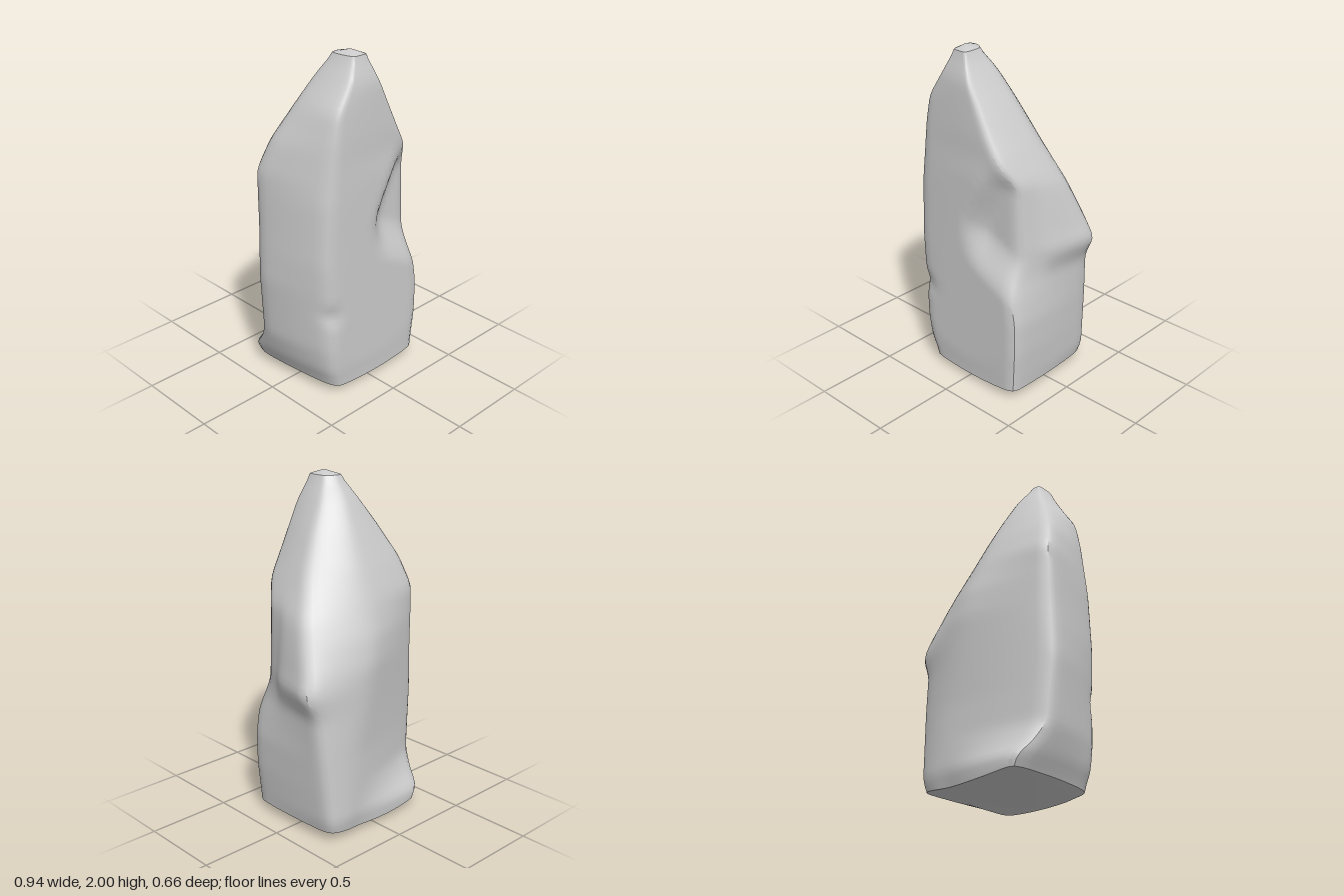
import * as THREE from 'three';
import { toCreasedNormals } from 'three/addons/utils/BufferGeometryUtils.js';

// Corner edges of the stone, each a list of [y, x, z] from base to tip
const frontRight = [[0.05, -0.28, 0.315], [0.15, -0.32, 0.325], [0.3, -0.335, 0.33], [0.55, -0.345, 0.325], [0.85, -0.36, 0.325],
  [1.2, -0.345, 0.325], [1.55, -0.30, 0.32], [1.7, -0.27, 0.315], [1.85, -0.17, 0.305], [1.975, -0.11, 0.265]];
const frontLeft = [[0.05, 0.365, 0.32], [0.3, 0.385, 0.33], [0.5, 0.385, 0.33], [0.75, 0.34, 0.33],
  [0.95, 0.335, 0.325], [1.3, 0.32, 0.325], [1.42, 0.25, 0.315], [1.55, 0.175, 0.32], [1.83, 0.035, 0.315], [1.975, -0.03, 0.27]];
const backLeft = [[0.05, 0.35, -0.29], [0.1, 0.37, -0.31], [0.5, 0.4, -0.285], [0.75, 0.42, -0.26],
  [0.89, 0.495, -0.245], [0.97, 0.46, -0.225], [1.25, 0.375, -0.11], [1.5, 0.255, 0], [1.7, 0.145, 0.06], [1.85, 0.05, 0.1], [1.975, -0.035, 0.16]];
const backMiddle = [[0.05, 0.15, -0.3], [0.1, 0.15, -0.325], [0.5, 0.12, -0.315], [1, 0.06, -0.33],
  [1.15, 0.03, -0.305], [1.35, 0, -0.23], [1.5, -0.01, -0.165], [1.7, -0.04, -0.065], [1.85, -0.07, 0.02], [1.975, -0.09, 0.125]];
const backRight = [[0.05, -0.34, -0.31], [0.11, -0.38, -0.325], [0.18, -0.405, -0.24], [0.3, -0.44, -0.16],
  [0.68, -0.475, -0.14], [1.0, -0.465, -0.14], [1.33, -0.46, -0.15], [1.5, -0.41, -0.09], [1.7, -0.30, 0], [1.85, -0.205, 0.06], [1.975, -0.13, 0.13]];

// Faces between neighbouring edges: [from, to, divisions, outward bulge]
const faces = [
  [frontRight, frontLeft, 18, 0.006],
  [frontLeft, backLeft, 14, 0.012],
  [backLeft, backMiddle, 8, 0.02],
  [backMiddle, backRight, 12, 0.014],
  [backRight, frontRight, 11, 0.018],
];

const step = THREE.MathUtils.smoothstep;

function sample(edge, y) {
  let i = 0;
  while (i < edge.length - 2 && y > edge[i + 1][0]) i++;
  const [a, b] = [edge[i], edge[i + 1]];
  const t = THREE.MathUtils.clamp((y - a[0]) / (b[0] - a[0]), 0, 1);
  return [a[1] + (b[1] - a[1]) * t, a[2] + (b[2] - a[2]) * t];
}

// Softens the bends along an edge
function edgeAt(edge, y) {
  const d = 0.035, p = [sample(edge, y - d), sample(edge, y), sample(edge, y + d)];
  return [0, 1].map(k => (p[0][k] + 2 * p[1][k] + p[2][k]) / 4);
}

// Rounds the corners of a cross-section
function roundRing(ring) {
  const n = ring.length;
  return ring.map((p, i) => p.map((v, k) => (ring[(i + n - 1) % n][k] + 2 * v + ring[(i + 1) % n][k]) / 4));
}

// Moves front points back for the hollow and the pit
function chip([x, y, z]) {
  // Hollow chipped from the upper left of the front
  const low = 0.88 - 0.5 * Math.max(x, 0);
  const left = -0.03 + 0.18 * step(y, 0.95, 1.45);
  const dent = 0.085 * step(x, left, left + 0.16) * step(y, low - 0.1, low + 0.18) * (1 - step(y, 1.25, 1.47));
  // Small pit low on the front right edge
  const pit = 0.022 * Math.exp(-((x + 0.32) ** 2 + (y - 0.53) ** 2) / 0.003);
  return [x, y, Math.min(z, 0.33) - dent * step(z, 0, 0.25) - pit * step(z, 0.2, 0.3)];
}

function ringAt(y) {
  const ring = [];
  for (const [from, to, n, bulge] of faces) {
    const a = edgeAt(from, y), b = edgeAt(to, y);
    const dx = b[0] - a[0], dz = b[1] - a[1], len = Math.hypot(dx, dz);
    const amount = bulge * Math.min(1, len / 0.3);
    for (let i = 0; i < n; i++) {
      const t = i / n, out = amount * 4 * t * (1 - t) / len;
      ring.push([a[0] + dx * t - dz * out, y, a[1] + dz * t + dx * out]);
    }
  }
  return roundRing(roundRing(ring)).map(chip);
}

function stoneGeometry() {
  const levels = 56, low = 0.055, high = 1.975;
  // The rim sags a little between its corners
  const rim = ringAt(low).map(([x, y, z]) => [x, y - 0.02 * (1 - Math.min(1, (x / 0.33) ** 2)), z]);
  // Slightly tilted, rounded underside
  const under = rim.map(([x, , z]) => [x * 0.8, 0.006 + 0.06 * (0.27 - z * 0.83) * (z < 0 ? 1 : 0.7) + 0.1 * x * x, z * 0.83]);
  const rings = [under, rim];
  for (let i = 1; i <= levels; i++) rings.push(ringAt(low + (high - low) * i / levels));

  const n = rim.length, points = rings.flat(2), index = [];
  for (let r = 0; r < rings.length - 1; r++) {
    for (let i = 0; i < n; i++) {
      const a = r * n + i, b = r * n + (i + 1) % n;
      index.push(a, b, a + n, b, b + n, a + n);
    }
  }
  // Close the base and the tip
  const base = rings.length * n, tip = base + 1, last = base - n;
  points.push(0.02, 0, 0.15, -0.08, 2, 0.21);
  for (let i = 0; i < n; i++) {
    const j = (i + 1) % n;
    index.push(base, j, i, last + i, last + j, tip);
  }
  const geometry = new THREE.BufferGeometry();
  geometry.setAttribute('position', new THREE.Float32BufferAttribute(points, 3));
  geometry.setIndex(index);
  return toCreasedNormals(geometry, 0.6);
}

export function createModel() {
  const group = new THREE.Group();
  group.name = 'standingStone';
  const stone = new THREE.Mesh(stoneGeometry(), new THREE.MeshStandardMaterial({ color: 0xcccccc }));
  stone.name = 'stone';
  group.add(stone);
  return group;
}
